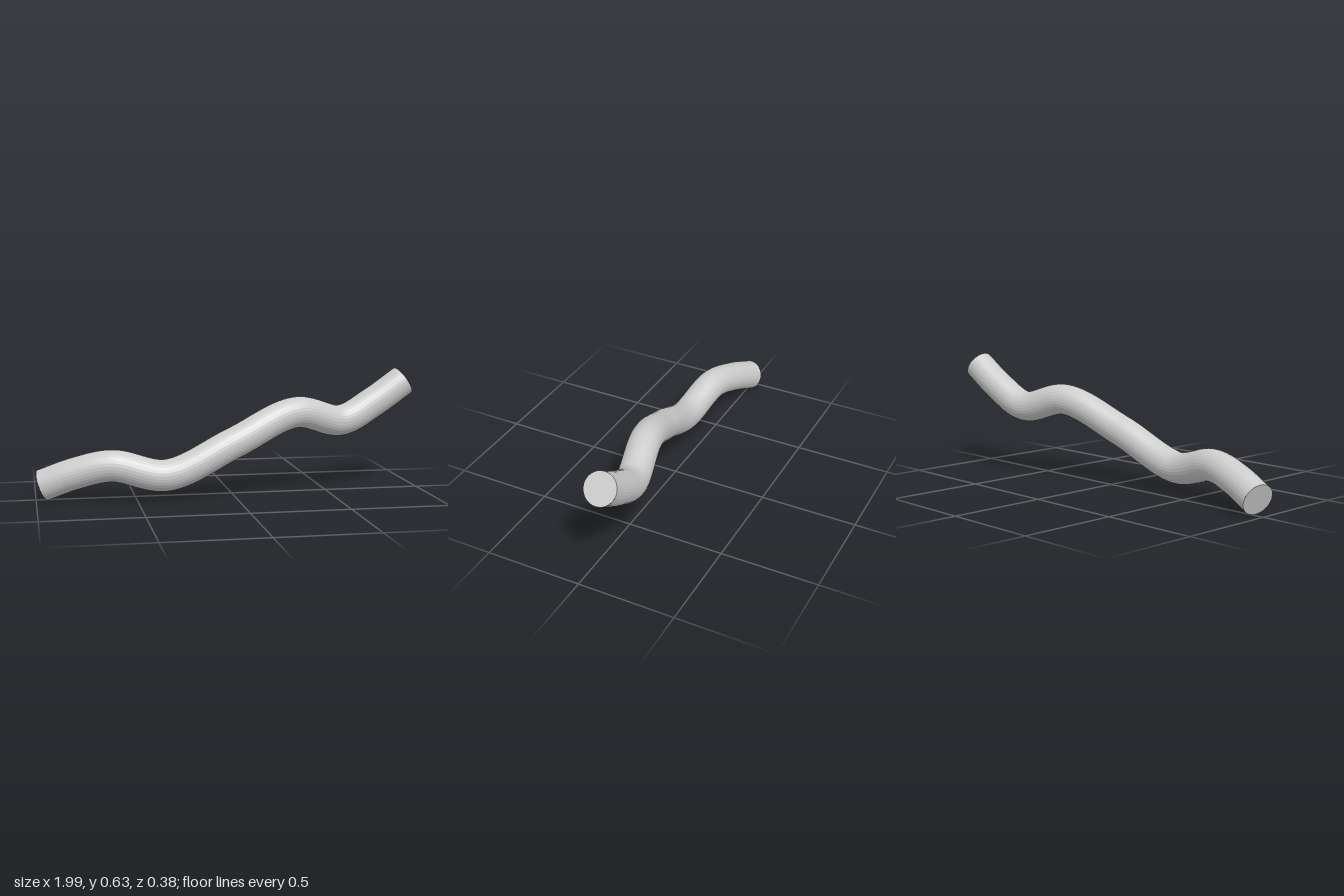
import * as THREE from 'three';

const RADIUS = 0.081;
const SIDES = 32;

export function createModel() {
  const group = new THREE.Group();
  group.name = 'wavyRod';
  const material = new THREE.MeshStandardMaterial({ color: 0xcccccc, flatShading: true });

  // Centre line, from the low right-hand end to the high left-hand end
  const path = new THREE.CatmullRomCurve3([
    [-0.965, 0.08, 0.003],
    [-0.8, 0.143, 0.045],
    [-0.62, 0.181, 0.083],
    [-0.35, 0.13, 0.112],
    [0, 0.278, 0.072],
    [0.34, 0.416, -0.01],
    [0.6, 0.361, -0.072],
    [0.78, 0.448, -0.098],
    [0.951, 0.562, -0.111],
  ].map((p) => new THREE.Vector3(...p)));

  const rod = new THREE.Mesh(new THREE.TubeGeometry(path, 120, RADIUS, SIDES), material);
  rod.name = 'rod';
  group.add(rod);

  // Flat discs closing both ends, each facing outwards along the path
  for (const [name, t, sign] of [['lowerEndCap', 0, -1], ['upperEndCap', 1, 1]]) {
    const cap = new THREE.Mesh(new THREE.CircleGeometry(RADIUS, SIDES), material);
    cap.name = name;
    cap.position.copy(path.getPointAt(t));
    const outward = path.getTangentAt(t).multiplyScalar(sign);
    cap.quaternion.setFromUnitVectors(new THREE.Vector3(0, 0, 1), outward);
    group.add(cap);
  }
  return group;
}
